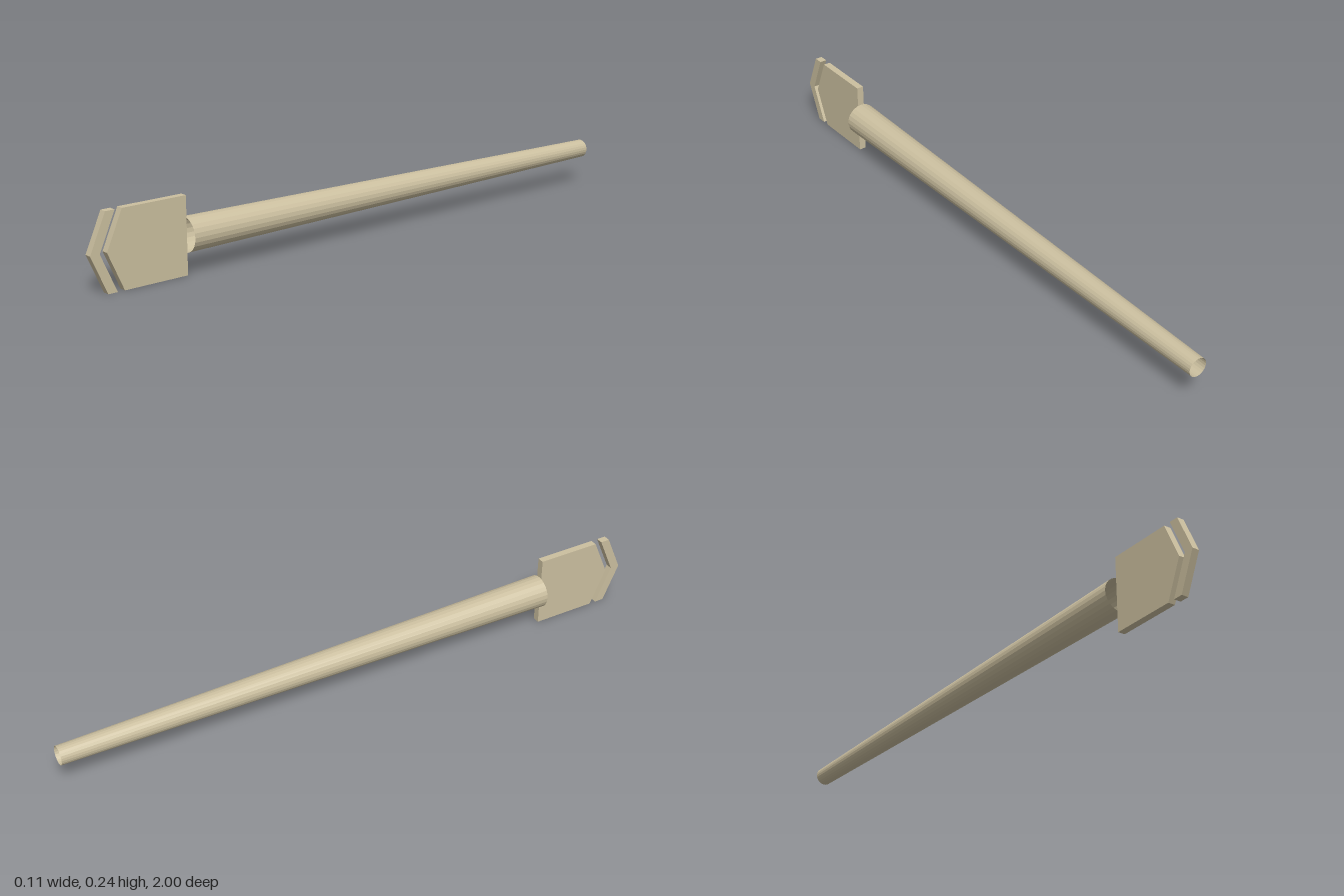
import * as THREE from 'three';

const MID = 0.119;        // height of the centre line
const THICKNESS = 0.023;  // thickness of the head plates

// Flat plate from a side outline of [z, y] points, centred on x = 0
function plate(name, outline, material) {
  const shape = new THREE.Shape(outline.map(([z, y]) => new THREE.Vector2(z, y)));
  const geometry = new THREE.ExtrudeGeometry(shape, { depth: THICKNESS, bevelEnabled: false });
  geometry.translate(0, 0, -THICKNESS / 2).rotateY(-Math.PI / 2);
  const mesh = new THREE.Mesh(geometry, material);
  mesh.name = name;
  return mesh;
}

export function createModel() {
  const group = new THREE.Group();
  group.name = 'taperedShaftWithArrowHead';

  const sand = new THREE.MeshStandardMaterial({ color: 0xcbbf9f });
  sand.name = 'sand';
  sand.flatShading = true;
  sand.side = THREE.DoubleSide;

  // Hollow tapered shaft, open at both ends
  const tube = new THREE.CylinderGeometry(0.053, 0.03, 1.68, 24, 1, true);
  tube.rotateX(Math.PI / 2).translate(0, MID, -0.16);
  const shaft = new THREE.Mesh(tube, sand);
  shaft.name = 'shaft';
  group.add(shaft);

  // Pointed plate at the front of the shaft
  const top = MID * 2;
  group.add(plate('headPlate', [
    [0.68, 0], [0.893, 0], [0.946, MID], [0.893, top], [0.68, top],
  ], sand));

  // Separate chevron tip ahead of the plate
  group.add(plate('chevronTip', [
    [0.916, 0], [0.947, 0], [1, MID], [0.947, top], [0.916, top], [0.969, MID],
  ], sand));

  return group;
}
